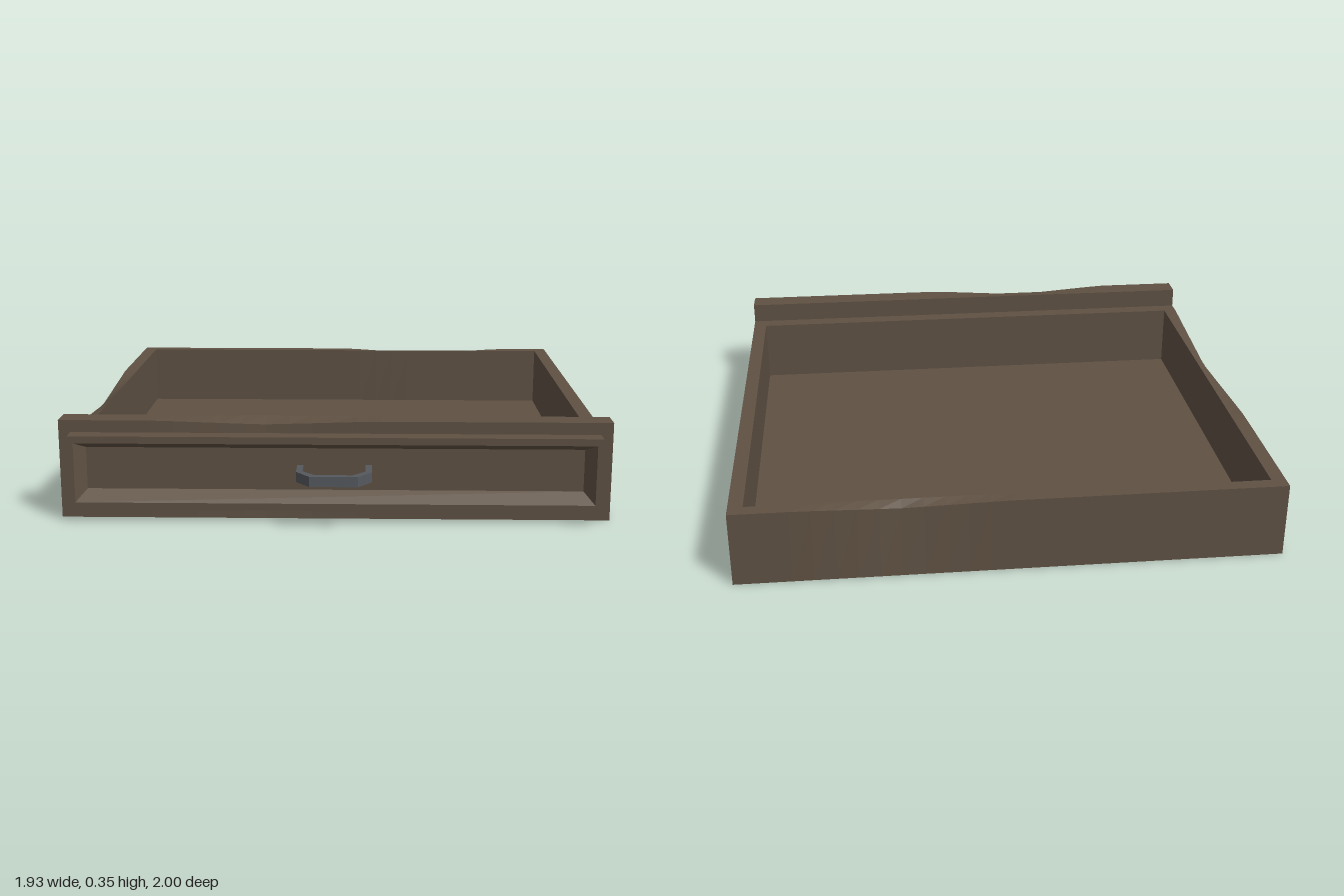
import * as THREE from 'three';

const wood = new THREE.MeshStandardMaterial({ color: 0x5f5143 });
wood.name = 'brown wood';
const iron = new THREE.MeshStandardMaterial({ color: 0x55585d });
iron.name = 'grey iron';

function addMesh(group, name, geometry, material) {
  const mesh = new THREE.Mesh(geometry, material);
  mesh.name = name;
  group.add(mesh);
  return mesh;
}

// Board given by its min and max corners. An optional chip wears down the
// outer top edge: along = axis of the edge, out = axis and sign facing outward.
function board(min, max, chip) {
  const size = max.map((v, i) => v - min[i]);
  const mid = max.map((v, i) => (v + min[i]) / 2);
  const seg = axis => (chip && chip.along === axis ? 24 : 1);
  let g = new THREE.BoxGeometry(...size, seg(0), 1, seg(2));
  g.translate(...mid);
  if (chip) {
    const p = g.attributes.position;
    for (let i = 0; i < p.count; i++) {
      const v = [p.getX(i), p.getY(i), p.getZ(i)];
      if (v[1] < mid[1] || (v[chip.out] - mid[chip.out]) * chip.sign < 0) continue;
      const t = Math.max(0, 1 - Math.abs(v[chip.along] - chip.at) / chip.width);
      v[1] -= chip.drop * t;
      v[chip.out] -= chip.sign * chip.inset * t;
      p.setXYZ(i, ...v);
    }
    g = g.toNonIndexed();
    g.computeVertexNormals();
  }
  return g;
}

// Rectangular loops [halfWidth, bottom, top, z] joined by quads, last one capped
function steppedPanel(loops) {
  const pos = [];
  const corners = ([w, b, t, z]) => [[-w, b, z], [w, b, z], [w, t, z], [-w, t, z]];
  const quad = (a, b, c, d) => pos.push(...a, ...b, ...c, ...a, ...c, ...d);
  for (let i = 0; i < loops.length - 1; i++) {
    const a = corners(loops[i]), b = corners(loops[i + 1]);
    for (let k = 0; k < 4; k++) {
      const n = (k + 1) % 4;
      quad(a[k], a[n], b[n], b[k]);
    }
  }
  quad(...corners(loops[loops.length - 1]));
  const g = new THREE.BufferGeometry();
  g.setAttribute('position', new THREE.Float32BufferAttribute(pos, 3));
  g.computeVertexNormals();
  return g;
}

export function createModel() {
  const drawer = new THREE.Group();
  drawer.name = 'drawer';

  // Open tray
  const W = 0.967, IN = 0.915, H = 0.275;
  addMesh(drawer, 'floor', board([-IN, 0, -0.95], [IN, 0.03, 0.74]), wood);
  addMesh(drawer, 'rightWall', board([-W, 0, -1], [-IN, H, 0.74],
    { along: 2, at: 0.12, width: 0.55, drop: 0.03, inset: 0.01, out: 0, sign: -1 }), wood);
  addMesh(drawer, 'leftWall', board([IN, 0, -1], [W, H, 0.74]), wood);
  addMesh(drawer, 'backWall', board([-IN, 0, -1], [IN, H, -0.95],
    { along: 0, at: 0.38, width: 0.36, drop: 0.02, inset: 0.02, out: 2, sign: -1 }), wood);
  addMesh(drawer, 'innerFrontWall', board([-IN, 0.03, 0.68], [IN, H, 0.74]), wood);

  // Taller front board with a worn top edge
  addMesh(drawer, 'frontBoard', board([-W, 0, 0.74], [W, 0.353, 0.83],
    { along: 0, at: -0.25, width: 0.38, drop: 0.018, inset: 0.025, out: 2, sign: 1 }), wood);

  // Raised moulding with a bevelled recess
  addMesh(drawer, 'frontPanel', steppedPanel([
    [0.925, 0.047, 0.31, 0.83],
    [0.925, 0.047, 0.31, 0.89],
    [0.905, 0.072, 0.285, 0.89],
    [0.868, 0.112, 0.262, 0.85],
  ]), wood);

  // Angular pull handle
  const outer = [[0.13, 0.845], [0.13, 0.94], [0.083, 1], [-0.083, 1], [-0.13, 0.94], [-0.13, 0.845]];
  const inner = [[-0.108, 0.845], [-0.108, 0.932], [-0.065, 0.978], [0.065, 0.978], [0.108, 0.932], [0.108, 0.845]];
  const outline = new THREE.Shape([...outer, ...inner].map(([x, z]) => new THREE.Vector2(x, -z)));
  const pull = new THREE.ExtrudeGeometry(outline, { depth: 0.036, bevelEnabled: false });
  pull.rotateX(-Math.PI / 2);
  pull.translate(0, 0.166, 0);
  addMesh(drawer, 'handle', pull, iron);

  return drawer;
}
